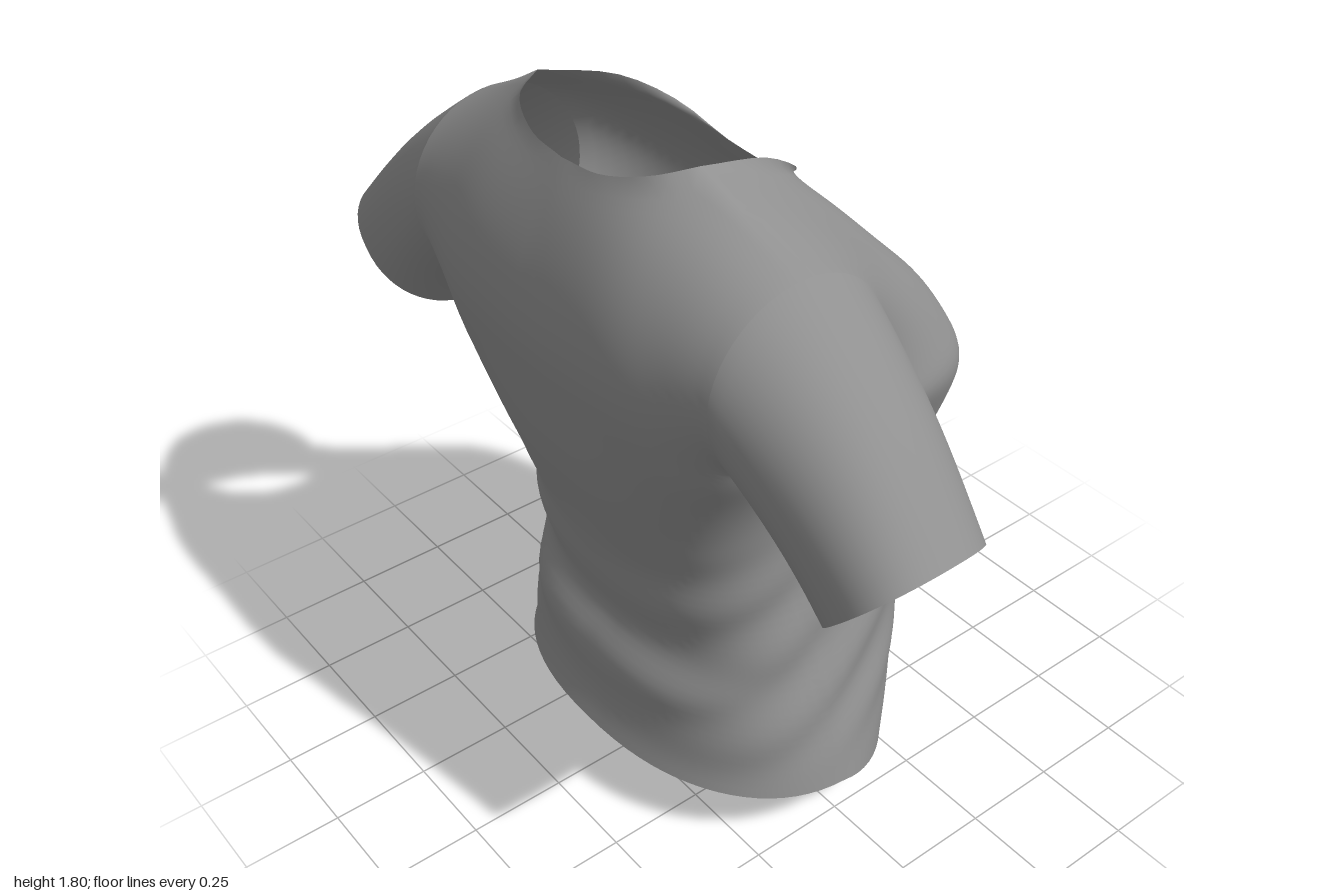
import * as THREE from 'three';
import { mergeVertices } from 'three/addons/utils/BufferGeometryUtils.js';

const V = (x, y, z) => new THREE.Vector3(x, y, z);
const curve = (pts) => new THREE.CatmullRomCurve3(pts.map((p) => V(...p)));
const { lerp, smoothstep } = THREE.MathUtils;
const COLS = 20, LOW = 44, UP = 26, SEAM = 0.4;

// Armhole loop on the left (+z) shoulder; angle -90 is the armpit, +90 the shoulder tip
function armhole(a, side = 1) {
  return V(-0.21 + side * 0.23 * Math.cos(a), 1.428 + 0.227 * Math.sin(a), 0.536 + 0.009 * Math.sin(a));
}

const sideSeam = curve([[0, 0.13, 0.535], [-0.02, 0.35, 0.487], [-0.04, 0.6, 0.438],
  [-0.07, 0.83, 0.418], [-0.12, 1.0, 0.437], [-0.17, 1.11, 0.477], [-0.21, 1.201, 0.527]]);
const shoulder = curve([[-0.21, 1.655, 0.545], [-0.23, 1.73, 0.4], [-0.25, 1.8, 0.28]]);

const front = {
  side: 1, power: [1.75, 4.2],
  lower: curve([[0.41, 0, 0], [0.422, 0.3, 0], [0.43, 0.6, 0], [0.448, 0.85, 0], [0.497, 1.04, 0], [0.477, 1.175, 0]]),
  upper: curve([[0.477, 1.175, 0], [0.405, 1.31, 0], [0.3, 1.395, 0], [0.2, 1.5, 0], [0.14, 1.573, 0]]),
  neck: curve([[-0.25, 1.8, 0.28], [-0.06, 1.745, 0.25], [0.07, 1.66, 0.2], [0.125, 1.59, 0.1], [0.14, 1.573, 0]]),
};
const back = {
  side: -1, power: [2.3, 2.9],
  lower: curve([[-0.4, 0.18, 0], [-0.375, 0.25, 0], [-0.38, 0.43, 0], [-0.322, 0.51, 0], [-0.352, 0.6, 0],
    [-0.36, 0.7, 0], [-0.385, 0.82, 0], [-0.44, 1.0, 0], [-0.475, 1.175, 0]]),
  upper: curve([[-0.475, 1.175, 0], [-0.5, 1.35, 0], [-0.48, 1.5, 0], [-0.43, 1.65, 0], [-0.385, 1.75, 0]]),
  neck: curve([[-0.25, 1.8, 0.28], [-0.33, 1.785, 0.23], [-0.375, 1.757, 0.12], [-0.385, 1.75, 0]]),
};

// Rounded row from the side seam (u = 0) to the centre line (u = 1)
function row(panel, t, u) {
  const e = sideSeam.getPointAt(t), c = panel.lower.getPointAt(t);
  const n = 2 / lerp(panel.power[0], panel.power[1], t);
  const k = Math.pow(Math.sin(u * Math.PI / 2), n);
  const w = u === 1 ? 0 : Math.pow(Math.cos(u * Math.PI / 2), n);
  return V(e.x + (c.x - e.x) * k, e.y + (c.y - e.y) * k, e.z * w);
}

// Shoulder seam followed by the neckline
function topEdge(panel, u) {
  return u <= SEAM ? shoulder.getPointAt(u / SEAM) : panel.neck.getPointAt((u - SEAM) / (1 - SEAM));
}

// Patch between armpit row, armhole, centre line and neckline
function yoke(panel, u, v) {
  const mix = (a, b, t) => a.clone().lerp(b, t);
  const f = 1 - Math.pow(1 - u, 1.6);
  const rows = mix(row(panel, 1, u), topEdge(panel, u), v);
  const edges = mix(armhole(-Math.PI / 2 + Math.PI * v, panel.side), panel.upper.getPointAt(v), f);
  const corners = mix(mix(row(panel, 1, 0), row(panel, 1, 1), f), mix(topEdge(panel, 0), topEdge(panel, 1), f), v);
  return rows.add(edges).sub(corners);
}

// Slanting drape folds around the sides of the waist
function drape(p) {
  const weight = smoothstep(p.y, 0.15, 0.4) * (1 - smoothstep(p.y, 0.65, 0.95))
    * Math.min(1, Math.abs(p.z) / 0.35) * (1 - smoothstep(p.x, 0.1, 0.4));
  const d = 1 + 0.02 * weight * Math.sin(28 * (p.y - 0.6 * p.x) + 2.2);
  p.x *= d;
  p.z *= d;
}

// Half panel as a grid of points, relaxed along the rows' joins and across the yoke
function halfPanel(panel) {
  let grid = [];
  for (let r = 0; r <= LOW + UP; r++) {
    const line = [];
    for (let c = 0; c <= COLS; c++) {
      const u = c / COLS;
      line.push(r <= LOW ? row(panel, r / LOW, u) : yoke(panel, u, (r - LOW) / UP));
    }
    grid.push(line);
  }
  for (let pass = 0; pass < 20; pass++) {
    grid = grid.map((line, r) => line.map((p, c) => {
      if (c === 0 || r === 0 || r === LOW + UP) return p;
      const across = c === COLS ? 0 : 0.22 * smoothstep(r, LOW - 2, LOW + 10), along = 0.08;
      const q = p.clone().multiplyScalar(1 - 2 * (along + across));
      q.addScaledVector(grid[r - 1][c], along).addScaledVector(grid[r + 1][c], along);
      return across ? q.addScaledVector(line[c - 1], across).addScaledVector(line[c + 1], across) : q;
    }));
  }
  grid.forEach((line) => line.forEach(drape));
  return grid;
}

// Smooth surface from grids of points; each entry is [grid, z sign, flipped]
function surface(entries) {
  const pos = [], idx = [];
  for (const [grid, sign, flip] of entries) {
    const base = pos.length / 3, w = grid[0].length;
    grid.forEach((line) => line.forEach((p) => pos.push(p.x, p.y, p.z * sign)));
    for (let r = 0; r < grid.length - 1; r++) {
      for (let c = 0; c < w - 1; c++) {
        const a = base + r * w + c, b = a + 1, d = a + w, e = d + 1;
        if (flip) idx.push(a, e, b, a, d, e);
        else idx.push(a, b, e, a, e, d);
      }
    }
  }
  let geo = new THREE.BufferGeometry();
  geo.setAttribute('position', new THREE.Float32BufferAttribute(pos, 3));
  geo.setIndex(idx);
  geo = mergeVertices(geo, 1e-4);
  geo.computeVertexNormals();
  return geo;
}

// Short sleeve from the armhole to the slanted, slightly squared cuff
function sleeveGrid() {
  const soft = (n) => Math.sign(n) * Math.pow(Math.abs(n), 0.88);
  const grid = [];
  for (let r = 0; r <= 16; r++) {
    const t = r / 16, line = [];
    for (let i = 0; i <= 2 * UP; i++) {
      const a = (i / UP) * Math.PI - Math.PI / 2, s = Math.sin(a), c = Math.cos(a);
      const h = soft(s) - 0.15 * c;
      const cuff = V(-0.217 + 0.186 * soft(c), 1.118 + 0.132 * h, 0.875 + 0.124 * h);
      const p = armhole(a).lerp(cuff, t);
      const bulge = 0.018 * Math.sin(Math.PI * t);
      p.y += bulge * Math.max(0, s);
      p.z += bulge * (s > 0 ? 0.6 * s : -s);
      p.x += bulge * 0.5 * Math.abs(c);
      line.push(p);
    }
    grid.push(line);
  }
  return grid;
}

export function createModel() {
  const group = new THREE.Group();
  group.name = 'shirt';
  const cloth = new THREE.MeshStandardMaterial({ color: 0x909090, side: THREE.DoubleSide });
  cloth.name = 'grey cloth';
  const add = (name, geo) => {
    const mesh = new THREE.Mesh(geo, cloth);
    mesh.name = name;
    group.add(mesh);
  };

  // Body with open neck, armholes and hem
  const f = halfPanel(front), b = halfPanel(back);
  add('body', surface([[f, 1, false], [f, -1, true], [b, 1, true], [b, -1, false]]));

  // Sleeves
  const sleeve = sleeveGrid();
  add('leftSleeve', surface([[sleeve, -1, true]]));
  add('rightSleeve', surface([[sleeve, 1, false]]));
  return group;
}
